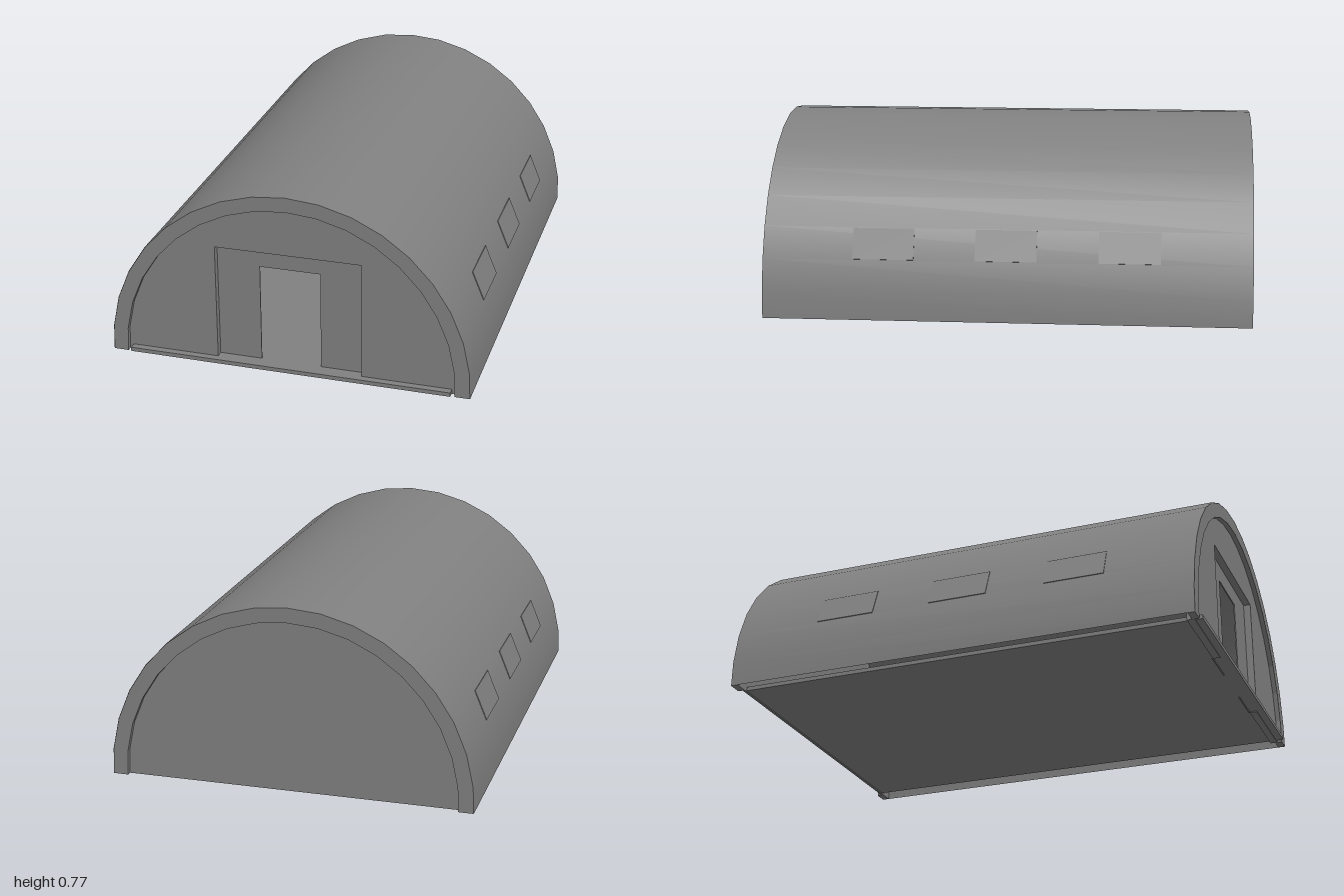
import * as THREE from 'three';

const STEP = THREE.MathUtils.degToRad(10.4);
const R_OUT = 0.749, R_IN = 0.687, CY = 0.021;
const Z_FRONT = 0.99, Z_BACK = -1;

// Arch outline from the +x foot over the top to the -x foot
function arch(r) {
  const pts = [[r * 0.998, 0]];
  for (let k = 8; k >= -8; k--) pts.push([r * Math.sin(k * STEP), CY + r * Math.cos(k * STEP)]);
  pts.push([-r * 0.998, 0]);
  return pts;
}

function slab(points, depth) {
  const shape = new THREE.Shape(points.map(([x, y]) => new THREE.Vector2(x, y)));
  return new THREE.ExtrudeGeometry(shape, { depth, bevelEnabled: false });
}

// Doorway notch cut from the bottom edge, walked from -x to +x
const notch = (w, h) => [[-w / 2, 0], [-w / 2, h], [w / 2, h], [w / 2, 0]];

// Smooth barrel skin between the two ends
function skinGeometry() {
  const pos = [], idx = [], pts = arch(R_OUT);
  pts.forEach(([x, y], i) => {
    pos.push(x, y, Z_FRONT, x, y, Z_BACK);
    if (i < pts.length - 1) {
      const a = 2 * i;
      idx.push(a, a + 1, a + 2, a + 1, a + 3, a + 2);
    }
  });
  const g = new THREE.BufferGeometry();
  g.setAttribute('position', new THREE.Float32BufferAttribute(pos, 3));
  g.setIndex(idx);
  g.computeVertexNormals();
  return g;
}

export function createModel() {
  const group = new THREE.Group();
  const grey = new THREE.MeshStandardMaterial({ color: 0x808080, side: THREE.DoubleSide });
  grey.name = 'grey';

  const add = (name, geometry, x = 0, y = 0, z = 0) => {
    const mesh = new THREE.Mesh(geometry, grey);
    mesh.name = name;
    mesh.position.set(x, y, z);
    group.add(mesh);
    return mesh;
  };

  add('roofShell', skinGeometry());

  // Arched rims closing the shell thickness at each end
  const rim = slab([...arch(R_OUT - 0.001), ...arch(R_IN).reverse()], 0.03);
  add('frontRim', rim, 0, 0, Z_FRONT - 0.03);
  add('backRim', rim, 0, 0, Z_BACK);

  // End walls, set slightly inside the rims
  add('backWall', slab(arch(R_IN), 0.01), 0, 0, -0.98);
  add('frontWall', slab([...arch(R_IN), ...notch(0.604, 0.512)], 0.03), 0, 0, 0.94);

  // Recessed door panel with an open doorway
  const panel = [[0.302, 0], [0.302, 0.512], [-0.302, 0.512], [-0.302, 0], ...notch(0.25, 0.435)];
  add('doorPanel', slab(panel, 0.005), 0, 0, 0.935);

  // Floor slab, reaching just past the front rim
  add('floor', new THREE.BoxGeometry(1.34, 0.017, 1.975), 0, 0.0125, 0.0125);

  // Three window plates along each side, lying on one facet of the shell
  const tilt = 6.5 * STEP, reach = R_OUT * Math.cos(STEP / 2);
  for (const side of [1, -1]) {
    for (const z of [-0.505, -0.005, 0.495]) {
      const w = add('window', new THREE.BoxGeometry(0.006, 0.13, 0.25),
        side * reach * Math.sin(tilt), CY + reach * Math.cos(tilt), z);
      w.rotation.z = side * (Math.PI / 2 - tilt);
    }
  }
  return group;
}
